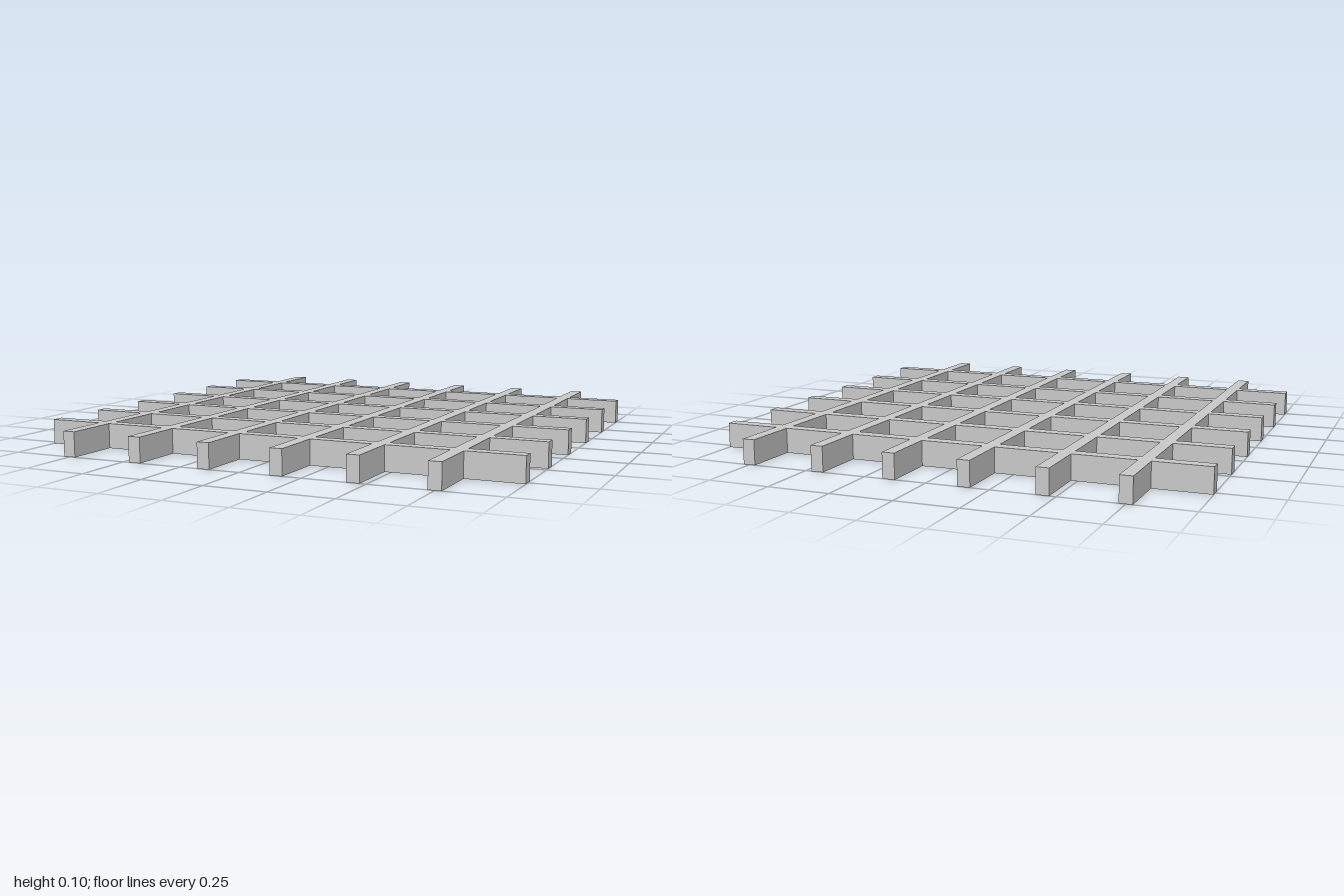
import * as THREE from 'three';

const LENGTH = 2, HEIGHT = 0.1, WIDTH = 0.05;
const COUNT = 6, SPACING = 0.3;

export function createModel() {
  const model = new THREE.Group();
  model.name = 'grating';
  const material = new THREE.MeshStandardMaterial({ color: 0xcccccc, flatShading: true });
  const barGeometry = new THREE.BoxGeometry(LENGTH, HEIGHT, WIDTH);

  const crossBars = new THREE.Group();
  crossBars.name = 'crossBars';
  const longBars = new THREE.Group();
  longBars.name = 'longBars';
  model.add(crossBars, longBars);

  for (let i = 0; i < COUNT; i++) {
    const offset = (i - (COUNT - 1) / 2) * SPACING;

    // Bar running left to right
    const crossBar = new THREE.Mesh(barGeometry, material);
    crossBar.name = `crossBar${i + 1}`;
    crossBar.position.set(0, HEIGHT / 2, offset);
    crossBars.add(crossBar);

    // Bar running front to back
    const longBar = new THREE.Mesh(barGeometry, material);
    longBar.name = `longBar${i + 1}`;
    longBar.rotation.y = Math.PI / 2;
    longBar.position.set(offset, HEIGHT / 2, 0);
    longBars.add(longBar);
  }
  return model;
}
